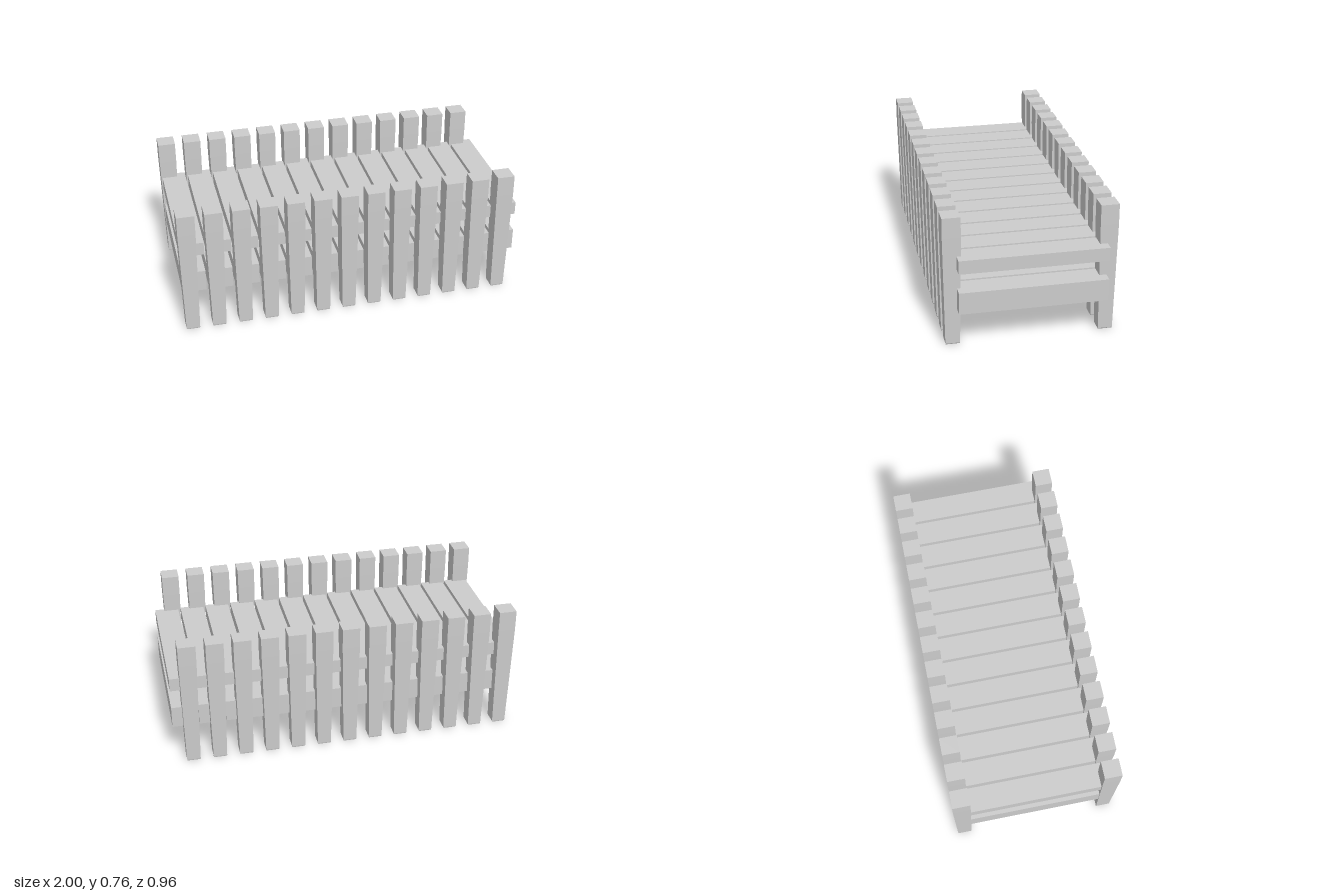
import * as THREE from 'three';

const material = new THREE.MeshStandardMaterial({ color: 0xcccccc, flatShading: true });

// Square post: straight head, long taper, tiny bevel at the foot
function postGeometry() {
  const rings = [[0, 0.036, 0.039], [0.006, 0.039, 0.0405], [0.64, 0.05, 0.0505], [0.757, 0.05, 0.0505]];
  const geometry = new THREE.BoxGeometry(2, 3, 2, 1, 3, 1);
  const p = geometry.attributes.position;
  for (let i = 0; i < p.count; i++) {
    const [y, halfX, halfZ] = rings[Math.round(p.getY(i) + 1.5)];
    p.setXYZ(i, p.getX(i) * halfX, y, p.getZ(i) * halfZ);
  }
  geometry.computeVertexNormals();
  return geometry;
}

export function createModel() {
  const model = new THREE.Group();
  model.name = 'slattedBench';

  function add(parent, name, geometry, x, y, z) {
    const mesh = new THREE.Mesh(geometry, material);
    mesh.name = name;
    mesh.position.set(x, y, z);
    parent.add(mesh);
  }
  function addGroup(name) {
    const group = new THREE.Group();
    group.name = name;
    model.add(group);
    return group;
  }

  const count = 13;
  const post = postGeometry();
  const seatSlat = new THREE.BoxGeometry(0.139, 0.078, 0.823);
  const lowerSlat = new THREE.BoxGeometry(0.139, 0.127, 0.823);

  const frontPosts = addGroup('frontPosts');
  const backPosts = addGroup('backPosts');
  const seat = addGroup('seat');
  const shelf = addGroup('lowerShelf');

  for (let i = 0; i < count; i++) {
    // Posts in two facing rows
    const postX = -0.95 + i * 0.1538;
    add(frontPosts, 'frontPost', post, postX, 0, 0.4285);
    add(backPosts, 'backPost', post, postX, 0, -0.4275);
    // Slats bridging the rows, slightly offset from the posts
    const slatX = -0.921 + i * 0.1543;
    add(seat, 'seatSlat', seatSlat, slatX, 0.492, -0.0095);
    add(shelf, 'shelfSlat', lowerSlat, slatX, 0.2775, -0.0095);
  }
  return model;
}
